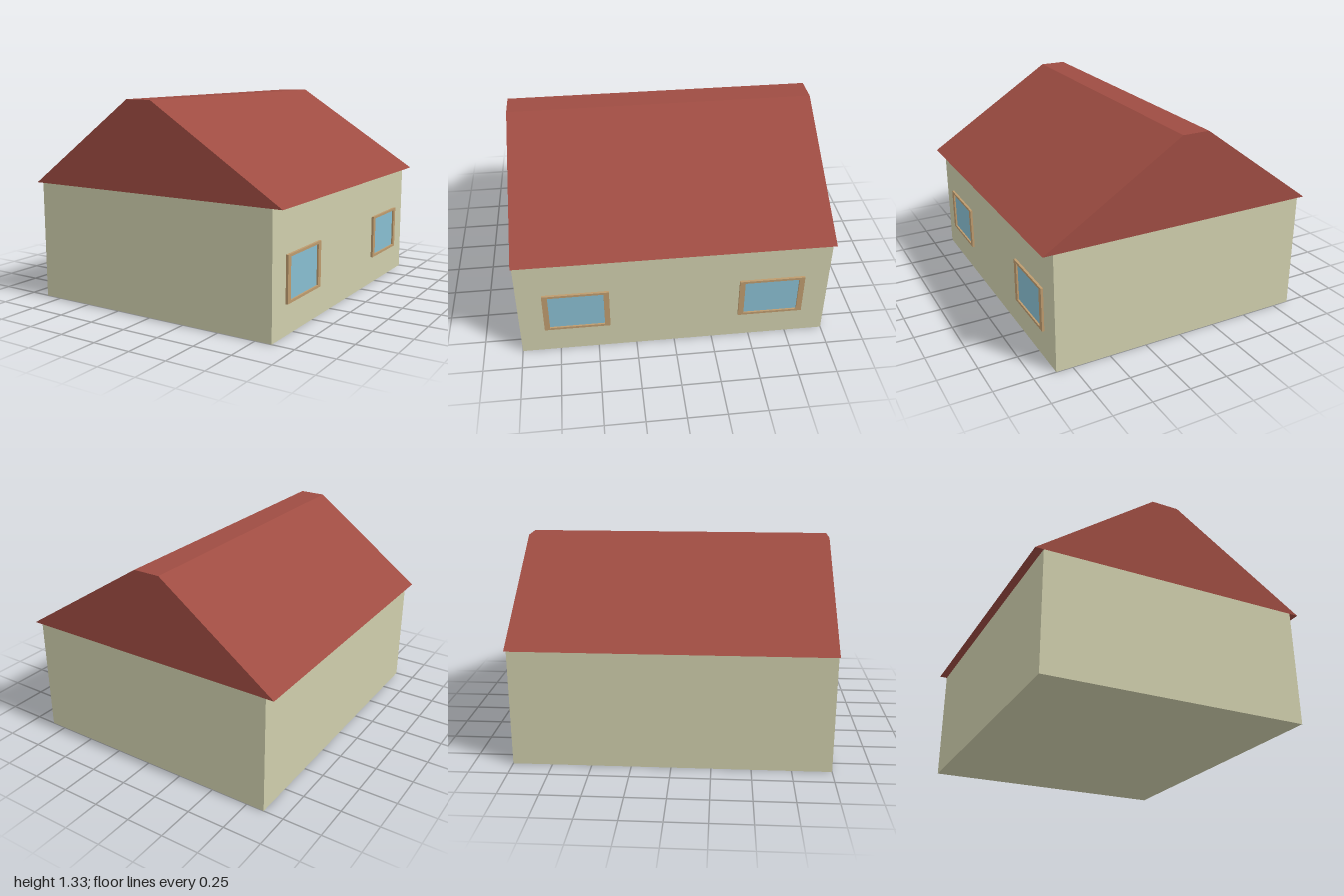
import * as THREE from 'three';

const material = (color) => new THREE.MeshStandardMaterial({ color, flatShading: true });

function rectangle(Path, w, h) {
  return new Path([
    new THREE.Vector2(-w / 2, -h / 2), new THREE.Vector2(w / 2, -h / 2),
    new THREE.Vector2(w / 2, h / 2), new THREE.Vector2(-w / 2, h / 2),
  ]);
}

export function createModel() {
  const house = new THREE.Group();
  house.name = 'house';

  const wallMaterial = material(0xcfceac);
  const roofMaterial = material(0x9e4c42);
  const frameMaterial = material(0xbd9b6e);
  const glassMaterial = material(0x88bdd0);

  const add = (parent, name, geometry, mat, x = 0, y = 0, z = 0) => {
    const mesh = new THREE.Mesh(geometry, mat);
    mesh.name = name;
    mesh.position.set(x, y, z);
    parent.add(mesh);
    return mesh;
  };

  // Walls
  const left = 0.857, right = -0.868, eaveY = 0.766, length = 2;
  add(house, 'walls', new THREE.BoxGeometry(left - right, eaveY, length), wallMaterial,
    (left + right) / 2, eaveY / 2, 0);

  // Roof: a solid prism with a narrow flat ridge, slightly off centre
  const profile = new THREE.Shape([
    new THREE.Vector2(-0.92, eaveY), new THREE.Vector2(0.92, eaveY),
    new THREE.Vector2(0.03, 1.33), new THREE.Vector2(-0.147, 1.33),
  ]);
  add(house, 'roof', new THREE.ExtrudeGeometry(profile, { depth: length, bevelEnabled: false }),
    roofMaterial, 0, 0, -length / 2);

  // Windows: a raised frame around a pane, on the left wall
  const frameShape = rectangle(THREE.Shape, 0.423, 0.29);
  frameShape.holes.push(rectangle(THREE.Path, 0.353, 0.258));
  const frameGeometry = new THREE.ExtrudeGeometry(frameShape, { depth: 0.015, bevelEnabled: false });
  const paneGeometry = new THREE.BoxGeometry(0.353, 0.258, 0.004);
  for (const [name, z] of [['frontWindow', 0.63], ['backWindow', -0.63]]) {
    const windowGroup = new THREE.Group();
    windowGroup.name = name;
    windowGroup.position.set(left, 0.335, z);
    windowGroup.rotation.y = Math.PI / 2;
    add(windowGroup, 'windowFrame', frameGeometry, frameMaterial);
    add(windowGroup, 'windowPane', paneGeometry, glassMaterial, 0, 0, 0.002);
    house.add(windowGroup);
  }

  return house;
}
